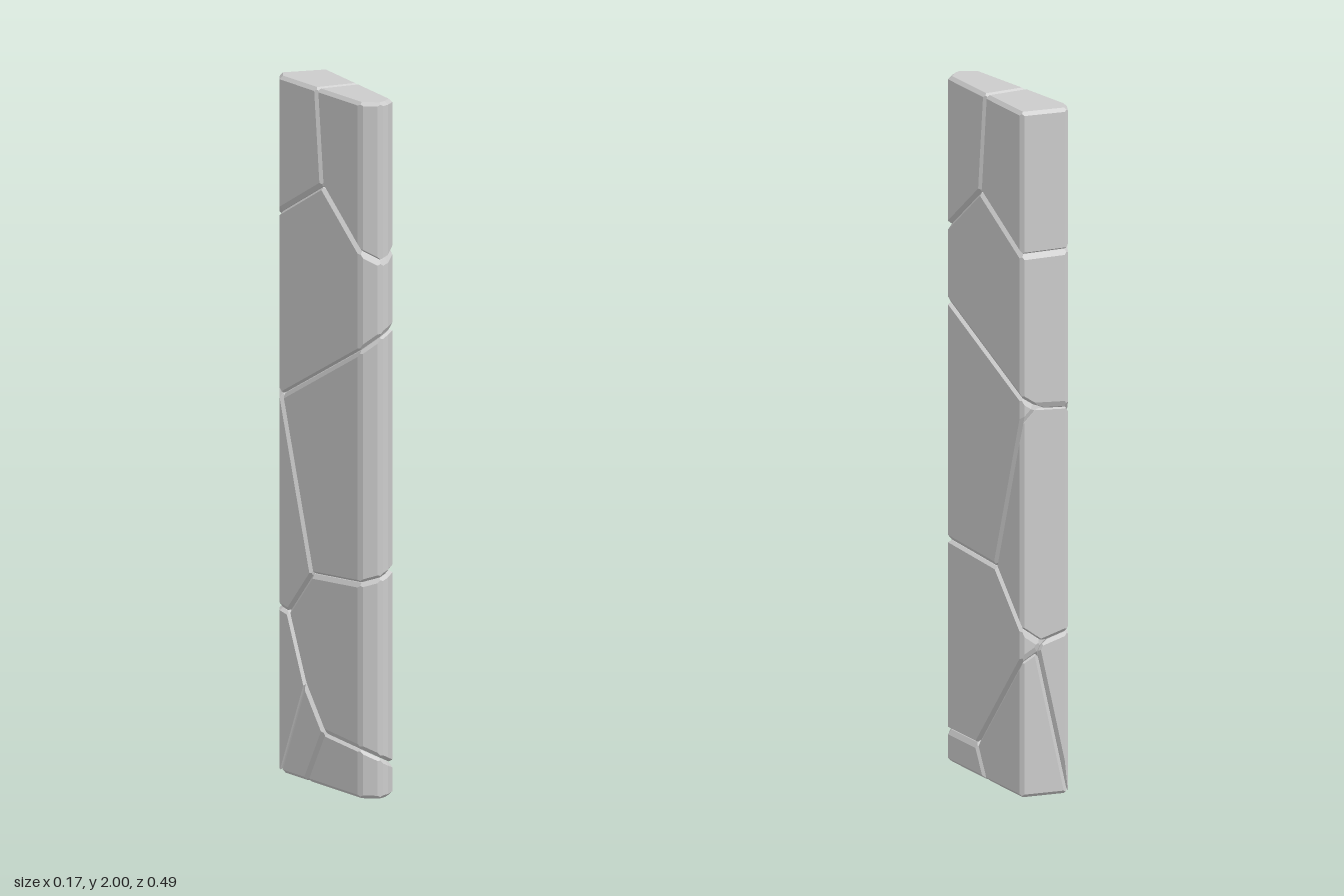
import * as THREE from 'three';

const V = (x, y, z) => new THREE.Vector3(x, y, z);
const BEVEL = 0.01, GAP = 0.0008, EPS = 1e-6;

// Outline of the slab seen from above, as [x, z]
const OUTLINE = [[-0.05, -0.25], [0.085, -0.21], [0.02, 0.215], [-0.01, 0.238],
  [-0.04, 0.248], [-0.087, 0.21], [-0.08, -0.205]];

// Each chunk owns the region where its linear function [a, b, c, d] is the largest
const chunks = { lowerFront: [0, 0, 0, 0] };
const value = (f, p) => f[0] * p.x + f[1] * p.y + f[2] * p.z + f[3];

// New chunk above (up = 1) or below (up = -1) a base chunk, cut along three seam points,
// weighted so that its seam with another chunk passes through a given point
function addChunk(name, base, up, seam, other, at) {
  const plane = new THREE.Plane().setFromCoplanarPoints(...seam.map((p) => V(...p)));
  const k = up / plane.normal.y;
  const cut = [...plane.normal.toArray(), plane.constant].map((n) => n * k);
  let weight = 1;
  if (other) {
    const q = V(...at);
    weight = (value(chunks[other], q) - value(chunks[base], q)) / value(cut, q);
  }
  chunks[name] = chunks[base].map((n, i) => n + weight * cut[i]);
}

function planChunks() {
  addChunk('middleFront', 'lowerFront', 1,
    [[0.062, 0.64, -0.06], [0.02, 0.65, 0.215], [-0.087, 0.617, 0.21]]);
  addChunk('middleBack', 'lowerFront', 1,
    [[0.062, 0.64, -0.06], [0.085, 0.49, -0.21], [-0.081, 0.469, -0.16]],
    'middleFront', [0.085, 1.1, -0.21]);
  addChunk('upperMiddle', 'middleFront', 1,
    [[0.02, 1.345, 0.215], [0.085, 1.165, -0.21], [-0.087, 1.285, 0.21]],
    'middleBack', [-0.05, 1.135, -0.25]);
  addChunk('topFront', 'upperMiddle', 1,
    [[0.048, 1.71, 0.03], [0.02, 1.565, 0.215], [-0.087, 1.57, 0.21]]);
  addChunk('topBack', 'upperMiddle', 1,
    [[0.048, 1.71, 0.03], [0.085, 1.58, -0.21], [-0.08, 1.615, -0.2]],
    'topFront', [0.05, 2, 0]);
  addChunk('bottomBackRight', 'lowerFront', -1,
    [[-0.081, 0.469, -0.16], [-0.083, 0.16, -0.02], [0.03, 0.45, -0.227]],
    'middleBack', [-0.05, 0.475, -0.25]);
  addChunk('bottomBackLeft', 'lowerFront', -1,
    [[0.046, 0.09, 0.05], [0.085, 0.4, -0.21], [0.04, 0.43, -0.225]],
    'bottomBackRight', [-0.045, 0.02, -0.25]);
  addChunk('bottomFront', 'lowerFront', -1,
    [[0.046, 0.09, 0.05], [0.02, 0.09, 0.215], [-0.083, 0.16, -0.02]],
    'bottomBackLeft', [0.053, 0, 0]);
}

// Outer faces of the whole slab: n . p <= d
function slabPlanes() {
  const planes = [{ n: V(0, 1, 0), d: 2 }, { n: V(0, -1, 0), d: 0 }];
  OUTLINE.forEach(([x, z], i) => {
    const [x2, z2] = OUTLINE[(i + 1) % OUTLINE.length];
    const n = V(z2 - z, 0, x - x2).normalize();
    if (n.x * x + n.z * z < 0) n.negate();
    planes.push({ n, d: n.x * x + n.z * z });
  });
  return planes;
}

// Corners of the convex solid bounded by the planes
function corners(planes) {
  const found = [];
  const bc = V(0, 0, 0), ca = V(0, 0, 0), ab = V(0, 0, 0);
  for (let i = 0; i < planes.length; i++)
    for (let j = i + 1; j < planes.length; j++)
      for (let k = j + 1; k < planes.length; k++) {
        const a = planes[i], b = planes[j], c = planes[k];
        bc.crossVectors(b.n, c.n);
        const det = a.n.dot(bc);
        if (Math.abs(det) < 1e-5) continue;
        ca.crossVectors(c.n, a.n);
        ab.crossVectors(a.n, b.n);
        const p = V(0, 0, 0).addScaledVector(bc, a.d / det)
          .addScaledVector(ca, b.d / det).addScaledVector(ab, c.d / det);
        if (planes.some((s) => s.n.dot(p) > s.d + EPS)) continue;
        if (!found.some((q) => q.distanceTo(p) < 1e-5)) found.push(p);
      }
  return found;
}

const onPlane = (s, p) => Math.abs(s.n.dot(p) - s.d) < 5e-6;

// Add a chamfer plane along every sharp edge
function chamfer(planes) {
  const points = corners(planes);
  const cuts = [];
  planes.forEach((a, i) => planes.slice(i + 1).forEach((b) => {
    const edge = points.filter((p) => onPlane(a, p) && onPlane(b, p));
    const cos = a.n.dot(b.n);
    if (edge.length < 2 || cos > 0.7) return;
    const n = a.n.clone().add(b.n).normalize();
    cuts.push({ n, d: n.dot(edge[0]) - BEVEL * Math.sqrt((1 - cos) / 2) });
  }));
  return [...planes, ...cuts];
}

// Flat-faced solid: sort the corners of each plane around its centre and fan them
function solid(planes) {
  const points = corners(planes);
  const position = [], normal = [];
  for (const s of planes) {
    const face = points.filter((p) => onPlane(s, p));
    if (face.length < 3) continue;
    const mid = face.reduce((m, p) => m.add(p), V(0, 0, 0)).divideScalar(face.length);
    const u = face[0].clone().sub(mid).normalize();
    const v = V(0, 0, 0).crossVectors(s.n, u);
    const angle = (p) => Math.atan2(p.clone().sub(mid).dot(v), p.clone().sub(mid).dot(u));
    face.sort((p, q) => angle(p) - angle(q));
    for (let i = 1; i < face.length - 1; i++)
      for (const p of [face[0], face[i], face[i + 1]]) {
        position.push(p.x, p.y, p.z);
        normal.push(s.n.x, s.n.y, s.n.z);
      }
  }
  const geometry = new THREE.BufferGeometry();
  geometry.setAttribute('position', new THREE.Float32BufferAttribute(position, 3));
  geometry.setAttribute('normal', new THREE.Float32BufferAttribute(normal, 3));
  return geometry;
}

export function createModel() {
  const group = new THREE.Group();
  group.name = 'crackedSlab';
  const material = new THREE.MeshStandardMaterial({ color: 0xcccccc, flatShading: true });
  planChunks();
  for (const [name, own] of Object.entries(chunks)) {
    const planes = slabPlanes();
    // Seams with the other chunks
    for (const [otherName, other] of Object.entries(chunks)) {
      if (otherName === name) continue;
      const n = V(other[0] - own[0], other[1] - own[1], other[2] - own[2]);
      const length = n.length();
      planes.push({ n: n.divideScalar(length), d: (own[3] - other[3]) / length - GAP });
    }
    const mesh = new THREE.Mesh(solid(chamfer(planes)), material);
    mesh.name = name + 'Chunk';
    group.add(mesh);
  }
  return group;
}
